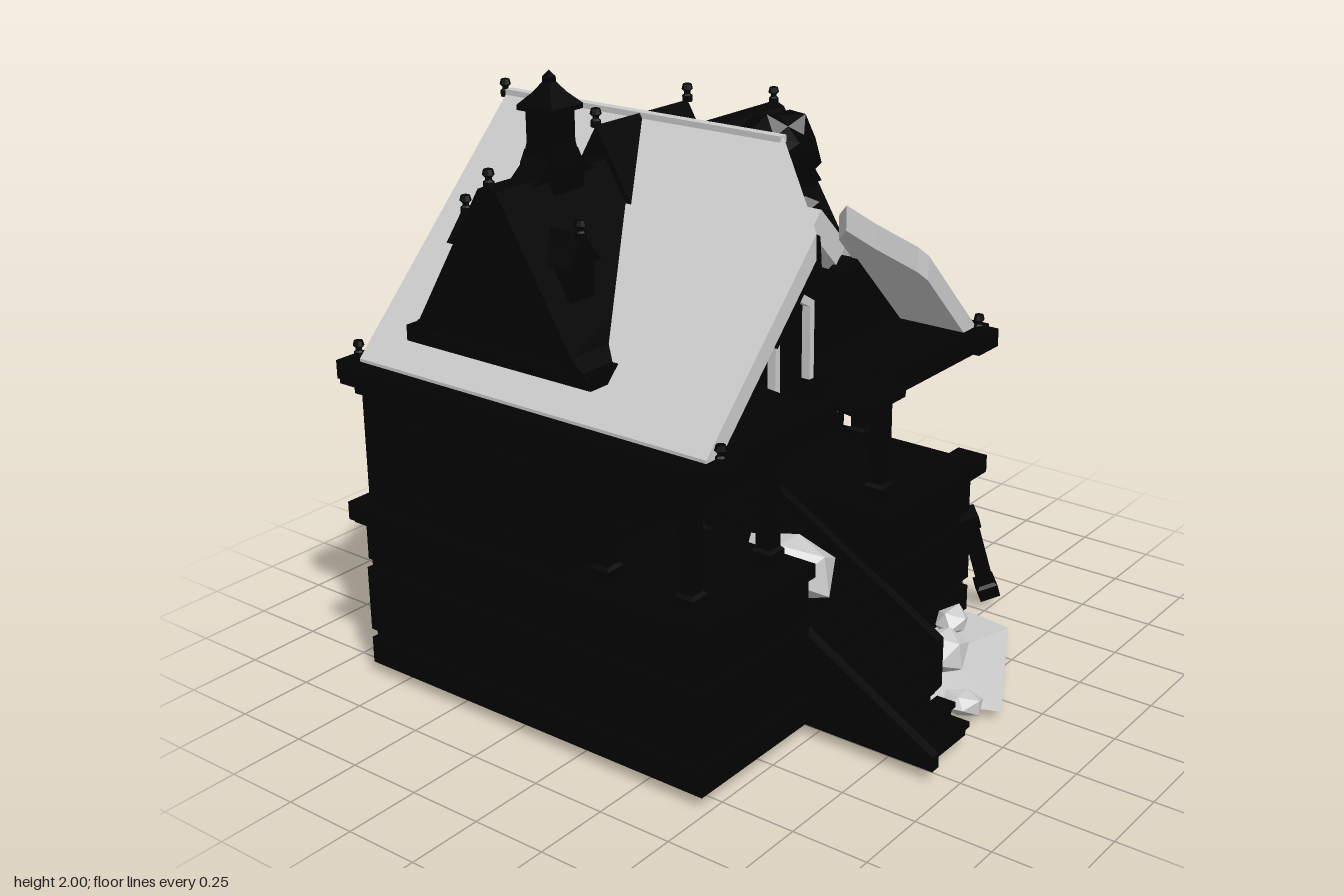
import * as THREE from 'three';
import { ConvexGeometry } from 'three/addons/geometries/ConvexGeometry.js';

const grey = new THREE.MeshStandardMaterial({ color: 0xcccccc, flatShading: true, side: THREE.DoubleSide });
const dark = new THREE.MeshStandardMaterial({ color: 0x030303, flatShading: true, side: THREE.DoubleSide });
const CX = -0.08; // ridge line of the house
const MID = -0.31; // ridge line of the cross gables

export function createModel() {
  const root = new THREE.Group();
  const add = (name, geo, mat = dark) => {
    const m = new THREE.Mesh(geo, mat);
    m.name = name;
    root.add(m);
    return m;
  };
  // box given by its limits
  const box = (name, x0, x1, y0, y1, z0, z1, mat) => {
    const m = add(name, new THREE.BoxGeometry(x1 - x0, y1 - y0, z1 - z0), mat);
    m.position.set((x0 + x1) / 2, (y0 + y1) / 2, (z0 + z1) / 2);
    return m;
  };
  const extrude = (pts, depth) =>
    new THREE.ExtrudeGeometry(new THREE.Shape(pts.map(p => new THREE.Vector2(...p))), { depth, bevelEnabled: false });
  // footprint [x, z] raised from y0 to y1
  const plan = (name, pts, y0, y1) =>
    add(name, extrude(pts.map(([x, z]) => [x, -z]), y1 - y0).rotateX(-Math.PI / 2).translate(0, y0, 0));
  // profile [x, y] extruded along z
  const front = (name, pts, z0, z1, mat) => add(name, extrude(pts, z1 - z0).translate(0, 0, z0), mat);
  // profile [z, y] extruded along x
  const side = (name, pts, x0, x1) =>
    add(name, extrude(pts.map(([z, y]) => [-z, y]), x1 - x0).rotateY(Math.PI / 2).translate(x0, 0, 0));
  const turned = (name, profile, x, y, z, sides = 8, mat = dark) => {
    const m = add(name, new THREE.LatheGeometry(profile.map(p => new THREE.Vector2(...p)), sides), mat);
    m.position.set(x, y, z);
    return m;
  };
  const finial = (x, y, z) => turned('finial', [[0, 0], [0.016, 0], [0.016, 0.02], [0.01, 0.025], [0.01, 0.032], [0.018, 0.04], [0.014, 0.056], [0, 0.06]], x, y, z);
  // irregular stone, shaped by a fixed wave
  const rock = (name, x, y, z, sx, sy, sz, mat, seed, detail = 0) => {
    const g = new THREE.IcosahedronGeometry(1, detail);
    const p = g.attributes.position, v = new THREE.Vector3();
    for (let i = 0; i < p.count; i++) {
      v.fromBufferAttribute(p, i);
      v.multiplyScalar(0.95 + 0.16 * Math.sin(v.x * 5 + v.y * 7 + v.z * 4 + seed * 2.3));
      p.setXYZ(i, v.x * sx, v.y * sy, v.z * sz);
    }
    g.computeVertexNormals();
    const m = add(name, g, mat);
    m.position.set(x, y, z);
    return m;
  };

  // hollow base, open below and at the stair, with two string courses
  const outer = e => [[0.13, 0.48 + e], [0.66 + e, 0.48 + e], [0.66 + e, -0.87 - e], [-0.82 - e, -0.87 - e], [-0.82 - e, 0.48 + e], [-0.29, 0.48 + e]];
  const cellar = [[-0.29, 0.03], [-0.45, 0.03], [-0.45, -0.82], [0.34, -0.82], [0.34, 0.03], [0.13, 0.03]];
  [[0.04, 0.13, 0], [0.13, 0.16, -0.012], [0.16, 0.38, 0], [0.38, 0.41, -0.012], [0.41, 0.54, -0.004]]
    .forEach(([a, b, e]) => plan('baseWall', [...outer(e), ...cellar], a, b));
  plan('porchFloor', [...outer(0.02), [-0.29, 0.05], [0.13, 0.05]], 0.54, 0.585);
  for (const x of [-0.795, 0.635]) for (const z of [-0.85, 0.46]) box('ledgeCorner', x - 0.055, x + 0.055, 0.55, 0.61, z - 0.055, z + 0.055);

  // main storey
  box('storeyWall', -0.79, 0.63, 0.58, 0.98, -0.84, -0.04);
  const windowBox = (x, z, along) => {
    const [w, d] = along === 'x' ? [0.075, 0.012] : [0.012, 0.075];
    box('windowSill', x - w, x + w, 0.64, 0.66, z - d, z + d);
    box('windowHead', x - w, x + w, 0.88, 0.91, z - d, z + d);
    for (const s of [-1, 1]) {
      const ox = along === 'x' ? s * 0.062 : 0, oz = along === 'z' ? s * 0.062 : 0;
      box('windowJamb', x + ox - 0.009, x + ox + 0.009, 0.66, 0.88, z + oz - 0.009, z + oz + 0.009);
    }
  };
  for (const x of [-0.56, -0.24, 0.08, 0.4]) windowBox(x, -0.842, 'x');
  for (const x of [-0.55, 0.39]) windowBox(x, -0.038, 'x');
  for (const x of [-0.792, 0.632]) for (const z of [-0.62, -0.25]) windowBox(x, z, 'z');
  for (const x of [-0.77, -0.4, -0.08, 0.24, 0.61]) box('backPilaster', x - 0.03, x + 0.03, 0.58, 0.98, -0.86, -0.83);
  for (const x of [-0.77, 0.61]) for (const z of [-0.82, -0.44, -0.06]) box('sidePilaster', x - 0.035, x + 0.035, 0.58, 0.98, z - 0.03, z + 0.03);

  // square porch columns, one of them fallen outside
  const post = [[0, 0], [0.05, 0], [0.05, 0.055], [0.037, 0.065], [0.037, 0.34], [0.046, 0.35], [0.046, 0.4], [0, 0.4]];
  [[-0.75, 0.39], [-0.38, 0.39], [0.22, 0.39], [-0.75, 0.08], [0.59, 0.08]].forEach(([x, z]) => {
    turned('porchColumn', post, x, 0.58, z, 4).rotation.y = Math.PI / 4;
  });
  turned('fallenColumn', post, 0.805, 0.045, 0.48, 4).rotation.z = 0.44;
  box('fallenBeam', -0.4, -0.35, 0.745, 0.805, -0.01, 0.4).rotation.x = -0.64;

  // cornice and porch ceiling, broken through above the stair
  plan('cornice', [[-0.85, -0.9], [0.69, -0.9], [0.69, 0.5], [0.1, 0.5], [0.13, 0.4], [0.08, 0.24], [-0.22, 0.24], [-0.25, 0.42], [-0.19, 0.5], [-0.85, 0.5]], 1.01, 1.07);
  plan('corniceFascia', [[-0.82, -0.87], [0.66, -0.87], [0.66, 0.48], [0.12, 0.48], [0.14, 0.38], [0.1, 0.22], [-0.24, 0.22], [-0.26, 0.42], [-0.22, 0.48], [-0.82, 0.48]], 0.975, 1.01);
  for (const x of [-0.765, 0.605]) for (const z of [-0.9, 0.51]) {
    box('corniceCorner', x - 0.06, x + 0.06, 1.01, 1.07, z - 0.04, z + 0.04);
    finial(x, 1.07, z);
  }
  box('brokenPlank', -0.18, 0.06, 1.035, 1.07, 0.42, 0.58).rotation.x = 0.12;
  rock('brokenSlab', -0.03, 1.01, 0.42, 0.105, 0.03, 0.06, grey, 2);

  // main roof: outlines in [distance from ridge, z], sheared onto the slope
  const slope = (name, s, pts) => {
    const geo = extrude(pts.map(([d, z]) => [d, -s * z]), 0.08);
    geo.applyMatrix4(new THREE.Matrix4().makeBasis(new THREE.Vector3(s, -1.014, 0), new THREE.Vector3(0, 0, -s), new THREE.Vector3(0, 1, 0)).setPosition(CX, 1.72, 0));
    add(name, geo, grey);
  };
  slope('rightRoof', -1, [[0, -0.87], [0, 0.22], [0.2, 0.48], [0.71, 0.48], [0.71, -0.87]]);
  slope('leftRoof', 1, [[0, -0.87], [0, 0.22], [0.19, 0.13], [0.2, -0.02], [0.3, -0.1], [0.4, -0.03], [0.4, 0.22], [0.3, 0.22],
    [0.25, 0.28], [0.31, 0.35], [0.38, 0.46], [0.41, 0.48], [0.71, 0.48], [0.71, -0.87]]);
  box('ridgeCap', CX - 0.016, CX + 0.016, 1.78, 1.802, -0.87, 0.22, grey);
  finial(CX, 1.775, -0.885);

  // gable walls under the roof
  front('backGable', [[-0.74, 1.06], [0.58, 1.06], [CX, 1.73]], -0.79, -0.74);
  front('frontGable', [[-0.74, 1.06], [0.58, 1.06], [0.3, 1.34], [0.22, 1.31], [0.1, 1.36], [0.09, 1.46], [0.02, 1.5], [0, 1.62], [CX, 1.75]], 0.18, 0.24);
  box('brokenRafter', -0.4, -0.35, 1.28, 1.54, 0.43, 0.47).rotation.z = -0.78;
  box('brokenJoist', 0.02, 0.06, 1.42, 1.6, 0.15, 0.2).rotation.z = 0.2;

  // pointed window frames
  const frame = (name, y, z) => front(name, [[CX - 0.1, y], [CX - 0.078, y], [CX - 0.078, y + 0.235], [CX, y + 0.278], [CX + 0.078, y + 0.235],
    [CX + 0.078, y], [CX + 0.1, y], [CX + 0.1, y + 0.25], [CX + 0.05, y + 0.28], [CX, y + 0.31], [CX - 0.05, y + 0.28], [CX - 0.1, y + 0.25]], z, z + 0.035, grey);
  frame('doorFrame', 0.61, -0.04);
  frame('gableWindowFrame', 1.03, 0.235);

  // stepped lancet ornaments on the back gable
  for (const [dx, h] of [[-0.23, 0.36], [0, 0.49], [0.23, 0.36]]) {
    const o = turned('backOrnament', [[0, 0], [0.012, 0.01], [0.012, 0.18], [0.04, 0.22], [0.068, 0.25], [0.062, 0.55], [0.048, 0.57],
      [0.048, 0.75], [0.034, 0.77], [0.032, 0.87], [0, 1]].map(([r, y]) => [r, y * h]), CX + dx, 1.09, -0.795, 6, grey);
    o.scale.z = 0.7;
  }

  // cross gables with flared eaves
  const flare = [[-0.36, 1.18], [-0.36, 1.21], [-0.3, 1.26], [-0.035, 1.7], [0, 1.715], [0.035, 1.7], [0.3, 1.26], [0.36, 1.21], [0.36, 1.18]];
  const shift = a => a.map(([z, y]) => [z + MID, y]);
  side('crossGableBody', shift([[-0.3, 1.18], [-0.28, 1.24], [0, 1.69], [0.28, 1.24], [0.3, 1.18]]), -0.74, 0.58);
  side('crossGableRoof', shift([...flare, [0.3, 1.18], [0.27, 1.23], [0, 1.665], [-0.27, 1.23], [-0.3, 1.18]]), -0.775, 0.615);
  side('upperCrossRoof', shift([[-0.135, 1.57], [0, 1.8], [0.135, 1.57]]), -0.3, 0.14);
  for (const s of [-1, 1]) {
    const at = d => CX + s * d;
    const span = (name, d0, d1, ...r) => box(name, Math.min(at(d0), at(d1)), Math.max(at(d0), at(d1)), ...r);
    finial(at(0.22), 1.795, MID);
    finial(at(0.685), 1.705, MID);
    span('gableSill', 0.58, 0.7, 1.18, 1.215, MID - 0.33, MID + 0.33);
    for (const t of [-1, 1]) {
      const z = MID + t * 0.32, w = MID + t * 0.055;
      span('eaveBlock', 0.57, 0.69, 1.175, 1.225, z - 0.045, z + 0.045);
      span('gableWindowPane', 0.65, 0.675, 1.26, 1.44, w - 0.035, w + 0.035);
      // small dormers on the flanks
      const z0 = Math.min(MID, MID + t * 0.225), z1 = Math.max(MID, MID + t * 0.225);
      span('flankDormer', 0.5, 0.61, 1.36, 1.5, z0, z1);
      front('flankDormerRoof', [[at(0.555) - 0.075, 1.49], [at(0.555) + 0.075, 1.49], [at(0.555), 1.58]], z0 - 0.012, z1 + 0.012);
      finial(at(0.555), 1.565, MID + t * 0.225);
    }
  }

  // cupola
  const four = (name, profile) => {
    turned(name, profile.map(([r, y]) => [r * Math.SQRT2, y]), -0.5, 0, MID, 4).rotation.y = Math.PI / 4;
  };
  four('cupolaBase', [[0, 1.6], [0.065, 1.6], [0.065, 1.73], [0.055, 1.77], [0, 1.77]]);
  four('cupolaTower', [[0, 1.76], [0.055, 1.76], [0.05, 1.79], [0.05, 1.89], [0, 1.89]]);
  four('cupolaRoof', [[0, 1.88], [0.068, 1.885], [0.068, 1.9], [0.035, 1.935], [0.014, 1.965], [0.014, 1.98], [0, 2]]);
  front('cupolaFoot', [[-0.63, 1.69], [-0.37, 1.69], [-0.42, 1.73], [-0.44, 1.75], [-0.56, 1.75], [-0.58, 1.73]], MID - 0.05, MID + 0.05);

  // stair rising into the porch, broken on its left side
  const rise = z => 0.09 + (0.93 - z) * 0.578;
  const stringer = (x, zEnd) => side('stairStringer', [[zEnd, 0.04], [0.06, 0.04], [0.06, rise(0.06)], [zEnd, rise(zEnd)]], x, x + 0.035);
  stringer(-0.305, 0.935);
  stringer(0.1, 0.7);
  for (let i = 0; i < 14; i++) {
    const z = 0.91 - i * 0.063, y = rise(z) - 0.02;
    const right = z > 0.78 ? -0.05 + 0.02 * (i % 2) : z > 0.68 ? 0.05 : 0.11;
    box('stairTread', -0.28, right, y - 0.018, y, z - 0.066, z);
    box('stairRiser', -0.28, right - 0.01, y - 0.045, y - 0.015, z - 0.02, z - 0.008);
  }

  // heap of rubble with stones on it
  const heap = [[-0.1, 0.03, 0.3], [0.2, 0.03, 0.02], [0.55, 0.035, 0.25], [0.65, 0.035, 0.5], [0.63, 0.035, 0.66], [0.44, 0.04, 0.7], [0.13, 0.035, 0.92],
    [0.04, 0.035, 0.7], [0.2, 0.07, 0.58], [0.3, 0.07, 0.62], [0.2, 0, 0.3], [0.4, 0.005, 0.45], [0.2, 0.005, 0.65]];
  add('rubbleHeap', new ConvexGeometry(heap.map(p => new THREE.Vector3(...p))), grey);
  rock('stairBoulder', -0.145, 0.47, 0.3, 0.135, 0.12, 0.165, grey, 1);
  rock('rubbleStone', 0.245, 0.11, 0.63, 0.115, 0.085, 0.09, grey, 4);
  rock('rubbleStone', 0.475, 0.085, 0.53, 0.08, 0.05, 0.07, grey, 5);
  rock('rubbleStone', 0.06, 0.065, 0.82, 0.065, 0.045, 0.065, grey, 6);
  rock('darkRubble', 0.02, 0.1, 0.55, 0.05, 0.05, 0.05, dark, 2);

  // debris in the roof hole
  rock('roofBoulder', 0.3, 1.65, -0.07, 0.11, 0.125, 0.14, dark, 2, 1);
  rock('roofBoulder', 0.42, 1.42, -0.06, 0.09, 0.08, 0.09, dark, 5);
  rock('roofBoulder', 0.2, 1.5, 0, 0.08, 0.09, 0.07, dark, 3);
  box('roofChunk', 0.08, 0.28, 1.39, 1.47, 0.05, 0.21, grey).rotation.z = -0.78;
  box('roofSplinter', -0.03, 0.1, 1.68, 1.71, -0.01, 0.04).rotation.set(0, -0.6, -0.75);
  return root;
}
